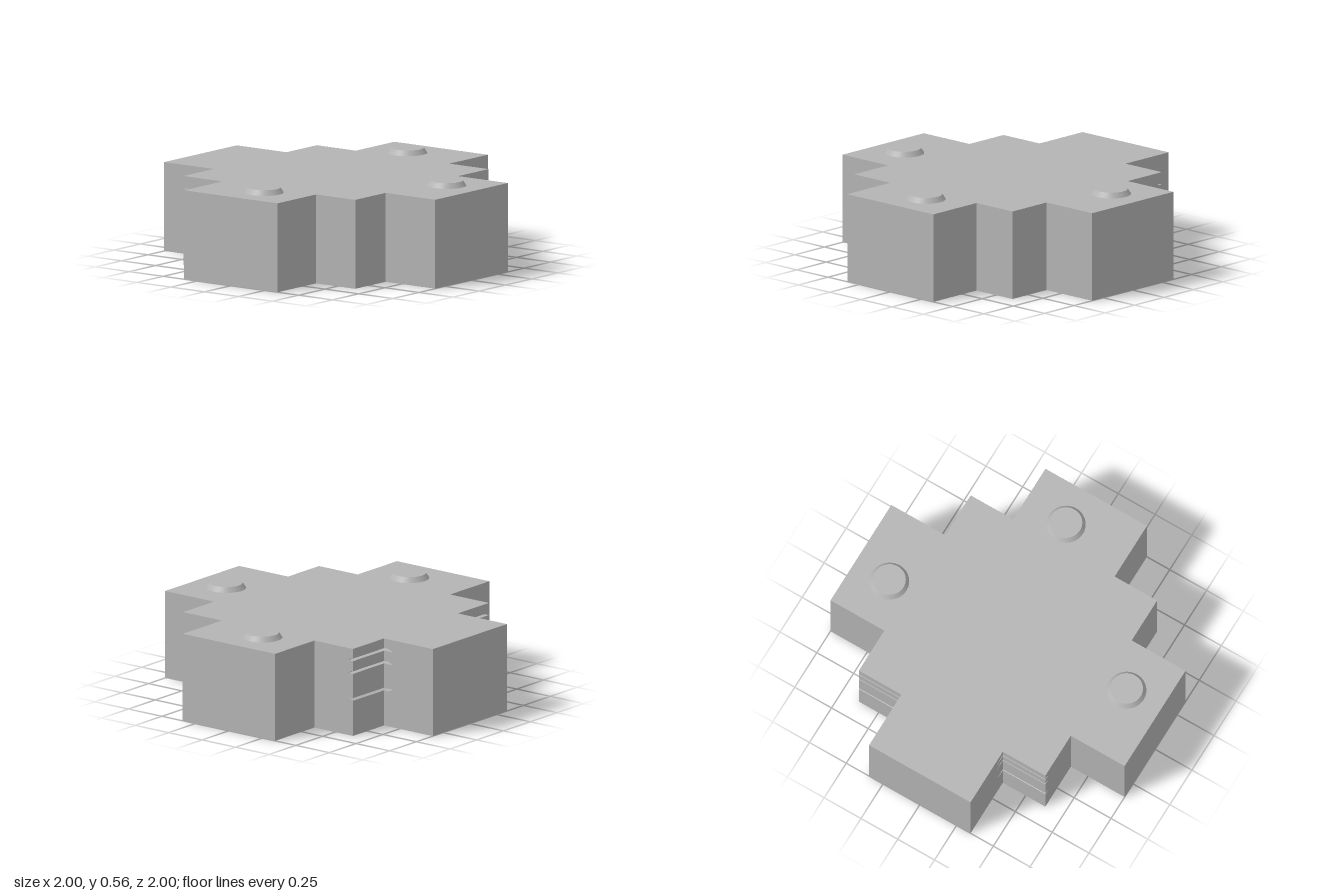
import * as THREE from 'three';

const HEIGHT = 0.527, ARM = 0.345, STEP = 0.634;
// Vent slots: lens sections with one flat edge at y, bulging up (1) or down (-1)
const SLOTS = [{ y: 0.214 + 0.015, bulge: -1 }, { y: 0.376, bulge: 1 }, { y: 0.453, bulge: 1 }];
const SLOT_IN = 0.6, SLOT_OUT = 0.7, SLOT_H = 0.018;

// Lower and upper edge of a slot at depth u (u = -z)
function slotEdges(slot, u) {
  const t = (u - (SLOT_IN + SLOT_OUT) / 2) / ((SLOT_OUT - SLOT_IN) / 2);
  const other = slot.y + slot.bulge * SLOT_H * Math.max(0, 1 - t * t);
  return [Math.min(slot.y, other), Math.max(slot.y, other)];
}

// Slot outline from the inner tip out to uEnd: lower run outwards, upper run inwards
function slotOutline(slot, uEnd) {
  const lower = [], upper = [], n = 10;
  for (let i = 0; i <= n; i++) {
    const u = SLOT_IN + (uEnd - SLOT_IN) * i / n;
    const [lo, hi] = slotEdges(slot, u);
    lower.push(new THREE.Vector2(u, lo));
    upper.unshift(new THREE.Vector2(u, hi));
  }
  return { lower, upper };
}

// Extrude a side profile along x, from x0 to x1
function extrudeAlongX(shape, x0, x1) {
  const geo = new THREE.ExtrudeGeometry(shape, { depth: x1 - x0, bevelEnabled: false });
  geo.rotateY(Math.PI / 2);
  geo.translate(x0, 0, 0);
  return geo;
}

export function createModel() {
  const group = new THREE.Group();
  const grey = new THREE.MeshStandardMaterial({ color: 0xb4b4b4 });
  const add = (name, geo) => {
    const mesh = new THREE.Mesh(geo, grey);
    mesh.name = name;
    group.add(mesh);
    return mesh;
  };

  // Central bar from front arm to back arm, pierced by the slots
  const bar = new THREE.Shape([[-1, 0], [1, 0], [1, HEIGHT], [-1, HEIGHT]]
    .map(([u, y]) => new THREE.Vector2(u, y)));
  for (const slot of SLOTS) {
    const { lower, upper } = slotOutline(slot, SLOT_OUT);
    bar.holes.push(new THREE.Path([...lower, ...upper.slice(1, -1)]));
  }
  add('centralBar', extrudeAlongX(bar, -ARM, ARM));

  // Stepped shoulders, with the slots open along their back face
  const outline = [new THREE.Vector2(-STEP, 0), new THREE.Vector2(STEP, 0)];
  for (const slot of SLOTS) {
    const { lower, upper } = slotOutline(slot, STEP);
    outline.push(...lower.reverse(), ...upper.reverse().slice(1));
  }
  outline.push(new THREE.Vector2(STEP, HEIGHT), new THREE.Vector2(-STEP, HEIGHT));
  const shoulder = new THREE.Shape(outline);
  add('leftShoulder', extrudeAlongX(shoulder, ARM, STEP));
  add('rightShoulder', extrudeAlongX(shoulder, -STEP, -ARM));

  // Side arms
  for (const [name, side] of [['leftArm', 1], ['rightArm', -1]]) {
    add(name, new THREE.BoxGeometry(1 - STEP, HEIGHT, 2 * ARM))
      .position.set(side * (1 + STEP) / 2, HEIGHT / 2, 0);
  }

  // Tapered round studs on three of the arms
  const studHeight = 0.03;
  for (const [name, x, z] of [
    ['leftStud', 0.766, -0.066], ['rightStud', -0.768, 0.065], ['frontStud', 0.065, 0.766],
  ]) {
    add(name, new THREE.CylinderGeometry(0.095, 0.115, studHeight, 48))
      .position.set(x, HEIGHT + studHeight / 2, z);
  }
  return group;
}
